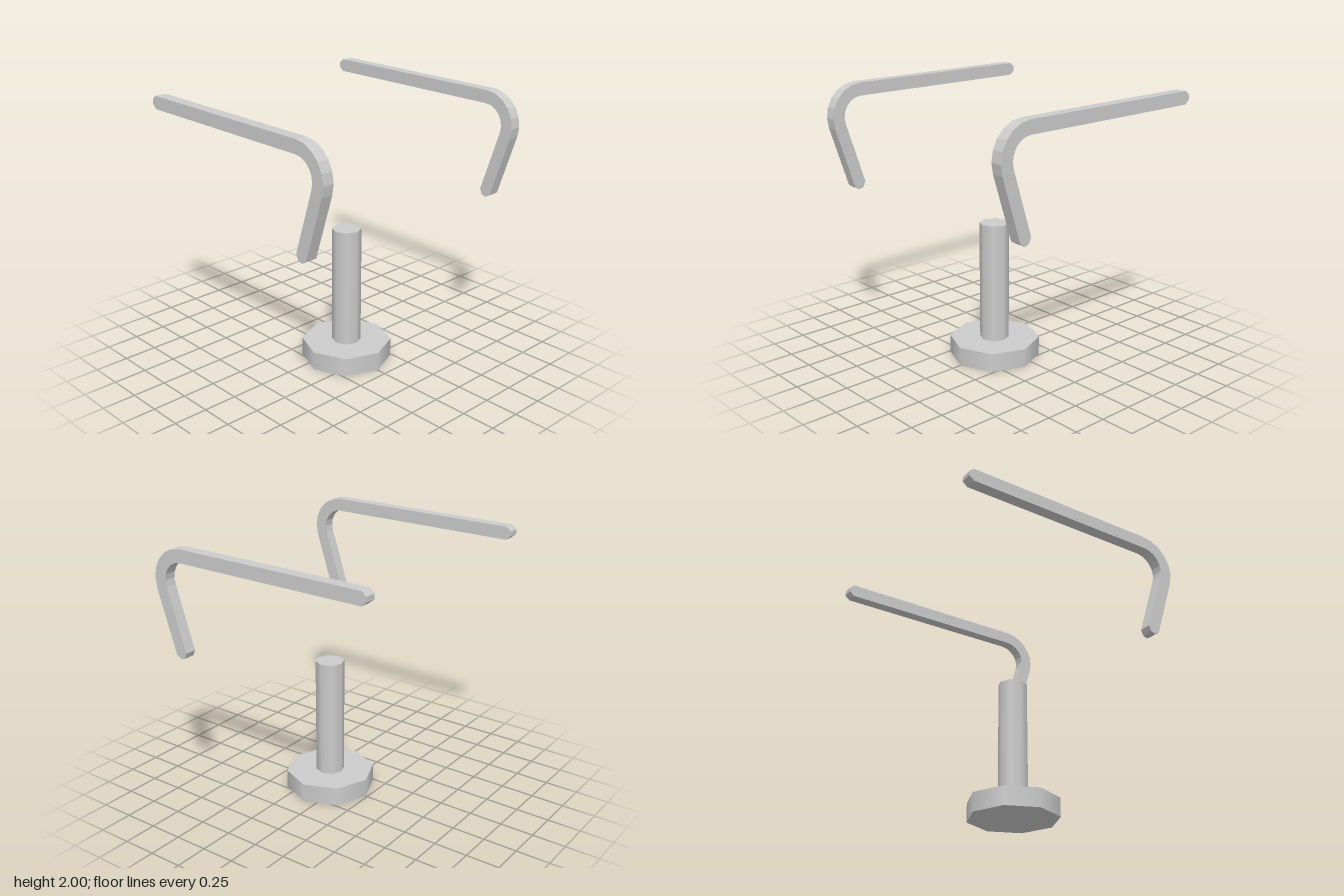
import * as THREE from 'three';

const material = new THREE.MeshStandardMaterial({ color: 0xcccccc });

// Side outline of a bar that runs level, bends down and folds back under itself
function armrestOutline() {
  const center = new THREE.Vector2(0.627, 1.76);
  const outer = 0.24, inner = 0.145, sweep = Math.PI * 0.6, steps = 6;
  const thick = outer - inner, bevel = 0.03, capDepth = 0.035, legLength = 0.475;
  const barEnd = -0.84;

  const arc = (radius) => Array.from({ length: steps + 1 }, (_, i) => {
    const a = Math.PI / 2 - (sweep * i) / steps;
    return new THREE.Vector2(center.x + radius * Math.cos(a), center.y + radius * Math.sin(a));
  });

  // Leg directions: across the bar (outward) and along it (downward)
  const a = Math.PI / 2 - sweep;
  const across = new THREE.Vector2(Math.cos(a), Math.sin(a));
  const along = new THREE.Vector2(Math.sin(a), -Math.cos(a));
  const legPoint = (radius, length) => center.clone()
    .addScaledVector(across, radius).addScaledVector(along, length);

  const top = center.y + outer, under = top - thick;
  return new THREE.Shape([
    new THREE.Vector2(barEnd, top),
    ...arc(outer),
    legPoint(outer, legLength),
    legPoint(outer - bevel, legLength + capDepth),
    legPoint(inner + bevel, legLength + capDepth),
    legPoint(inner, legLength),
    ...arc(inner).reverse(),
    new THREE.Vector2(barEnd, under),
    new THREE.Vector2(barEnd - capDepth, under + bevel),
    new THREE.Vector2(barEnd - capDepth, top - bevel),
  ]);
}

export function createModel() {
  const group = new THREE.Group();

  const add = (name, geometry, x, y, z) => {
    const mesh = new THREE.Mesh(geometry, material);
    mesh.name = name;
    mesh.position.set(x, y, z);
    group.add(mesh);
  };

  // Octagonal pedestal: foot plate and column
  const px = 0.095, footHeight = 0.14, columnTop = 1.03;
  const columnHeight = columnTop - footHeight;
  add('pedestalFoot', new THREE.CylinderGeometry(0.333, 0.333, footHeight, 8), px, footHeight / 2, 0);
  add('pedestalColumn', new THREE.CylinderGeometry(0.107, 0.107, columnHeight, 8), px, footHeight + columnHeight / 2, 0);

  // Matching bent armrests, front and back
  const depth = 0.085;
  const armrest = new THREE.ExtrudeGeometry(armrestOutline(), { depth, bevelEnabled: false });
  armrest.translate(0, 0, -depth / 2);
  add('frontArmrest', armrest, 0, 0, 0.8975);
  add('backArmrest', armrest, 0, 0, -0.8975);

  return group;
}
